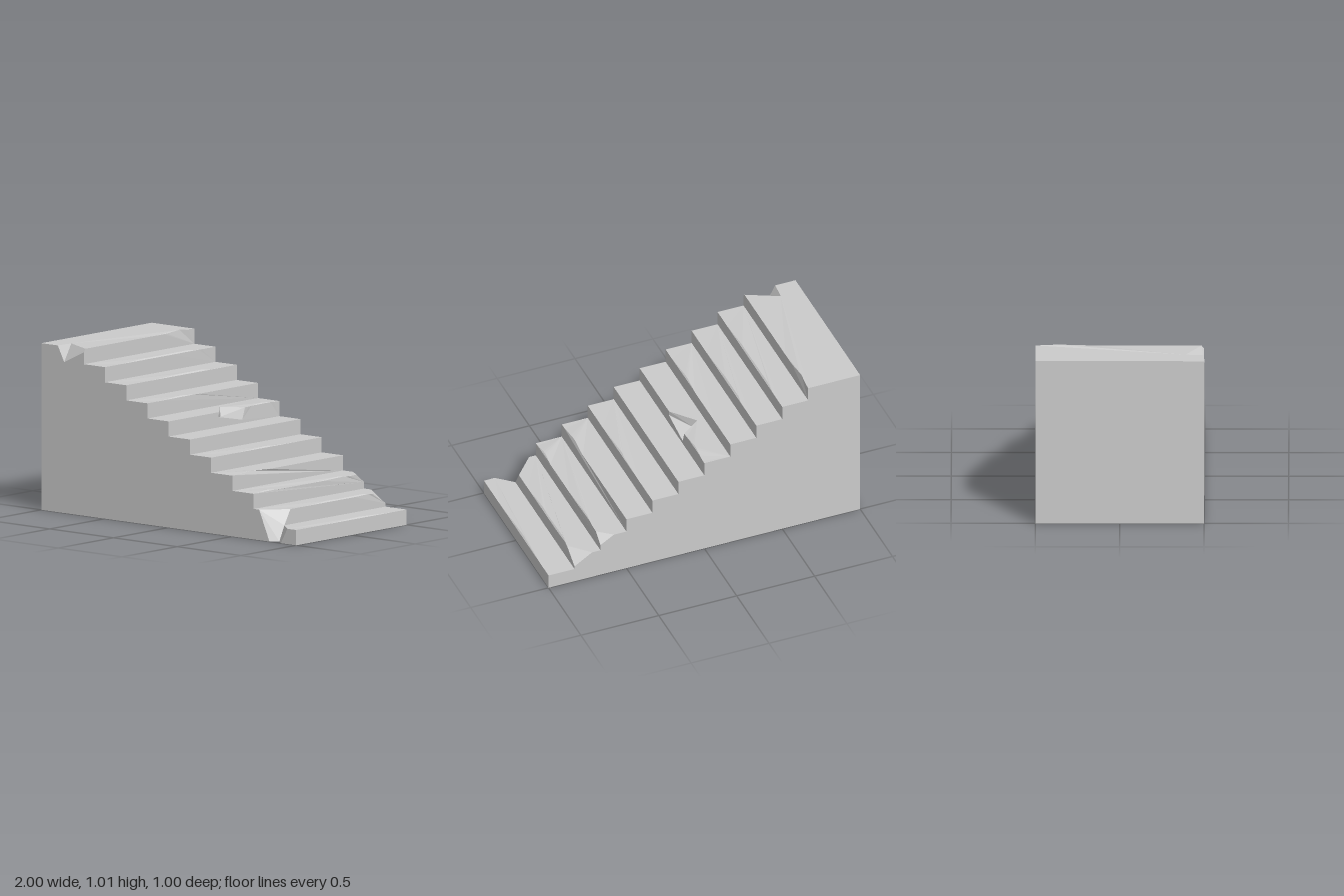
import * as THREE from 'three';

const STEPS = 11, BASE = 0.004, HALF = 0.5;
const edgeX = k => (k > STEPS ? -1 : 1 - (k - 1) / 6);   // nosing position of step k
const level = k => (k === 0 ? BASE : 0.005 + k / 11);    // tread height of step k

// Worn patches along each nosing: [centre z, half width]
const WEAR = {
  1: [[-0.08, 0.17]], 2: [[0, 0.15], [-0.3, 0.08]], 3: [[0.38, 0.11], [-0.25, 0.13]],
  4: [[0.33, 0.16]], 5: [[0, 0.1]], 7: [[-0.34, 0.13]], 8: [[0.2, 0.17]],
  9: [[0, 0.13], [-0.2, 0.07]], 10: [[0.13, 0.13], [-0.24, 0.13]], 11: [[-0.36, 0.13]],
};

// Chipped edges: nosing range, extra tread corners [x, z], extra riser corners [y, z]
const CHIPS = {
  2: { from: 0.36, to: -0.385, treadIn: [[0.71, 0.5]], treadOut: [[0.72, -0.5]], riserOut: [[0.115, -0.5]], foot: 0.415 },
  3: { to: -0.43, treadOut: [[0.58, -0.5]], riserOut: [[0.225, -0.5]] },
  7: { gap: [0.045, -0.19], treadGap: [[-0.12, -0.1]], riserGap: [[0.612, 0.05], [0.57, -0.165]] },
  11: { from: 0.485, treadIn: [[-0.87, 0.5], [-0.86, 0.39]], riserIn: [[0.985, 0.5]] },
};

// Fills a loop of 3D corners, seen along one axis; sign gives the outward side
function face(out, points, axis, sign) {
  const [a, b] = [[2, 1], [0, 2], [0, 1]][axis];
  const flat = points.map(p => new THREE.Vector2(p[a], p[b]));
  for (const tri of THREE.ShapeUtils.triangulateShape(flat, [])) {
    const [p, q, r] = tri.map(i => new THREE.Vector3(...points[i]));
    const n = q.clone().sub(p).cross(r.clone().sub(p));
    const loop = n.getComponent(axis) * sign > 0 ? [p, q, r] : [p, r, q];
    loop.forEach(v => out.push(v.x, v.y, v.z));
  }
}

function nosing(k, from, to) {
  const zs = [from];
  for (let i = 1; i < 40; i++) {
    const z = HALF - i / 40;
    if (z < from - 0.005 && z > to + 0.005) zs.push(z);
  }
  zs.push(to);
  return zs.map(z => {
    let w = 0;
    for (const [c, h] of WEAR[k] || []) {
      const t = Math.abs(z - c) / h;
      if (t < 1) w += Math.cos(t * Math.PI / 2) ** 2;
    }
    return [edgeX(k) - 0.009 * w, level(k) + 0.008 * w, z];
  });
}

export function createModel() {
  const group = new THREE.Group();
  const material = new THREE.MeshStandardMaterial({ color: 0xcccccc, flatShading: true });
  const add = (name, faces) => {
    const out = [];
    faces.forEach(f => face(out, ...f));
    const geometry = new THREE.BufferGeometry();
    geometry.setAttribute('position', new THREE.Float32BufferAttribute(out, 3));
    geometry.computeVertexNormals();
    const mesh = new THREE.Mesh(geometry, material);
    mesh.name = name;
    group.add(mesh);
  };

  // Steps: a tread and a riser sharing one worn nosing
  for (let k = 1; k <= STEPS; k++) {
    const c = { from: HALF, to: -HALF, treadIn: [], treadOut: [], riserIn: [], riserOut: [], foot: HALF, ...CHIPS[k] };
    const x = edgeX(k), y = level(k), back = edgeX(k + 1);
    const onTread = list => list.map(([px, z]) => [px, y, z]);
    const onRiser = list => list.map(([py, z]) => [x, py, z]);
    const runs = c.gap
      ? [nosing(k, c.from, c.gap[0]), nosing(k, c.gap[1], c.to)]
      : [nosing(k, c.from, c.to), []];
    const backEdge = k === 1
      ? [[back, y, -HALF], [back, y, 0.415], [0.93, y, HALF]]
      : [[back, y, -HALF], [back, y, HALF]];
    const tread = [...onTread(c.treadIn), ...runs[0], ...onTread(c.treadGap || []), ...runs[1],
      ...onTread(c.treadOut), ...backEdge];
    const riser = [...onRiser(c.riserIn), ...runs[0], ...onRiser(c.riserGap || []), ...runs[1],
      ...onRiser(c.riserOut), [x, level(k - 1), -HALF], [x, level(k - 1), c.foot]];
    add('step' + k, [[tread, 1, 1], [riser, 0, 1]]);
  }

  // Side walls follow the stepped outline, with chipped corners swapped in
  const side = (z, first, swaps) => {
    const pts = [[-1, BASE], ...first];
    for (let k = first.length > 1 ? 3 : 1; k <= STEPS; k++) {
      pts.push(...(swaps[k] || [[edgeX(k), level(k)]]), [edgeX(k + 1), level(k)]);
    }
    return pts.map(([x, y]) => [x, y, z]);
  };
  const y1 = level(1), y2 = level(2), top = level(STEPS), x2 = edgeX(2), x3 = edgeX(3), x11 = edgeX(STEPS);
  add('frontWall', [
    [side(HALF, [[0.79, BASE], [0.71, y2], [x3, y2]],
      { 11: [[x11, 0.985], [-0.82, 0.91], [-0.87, top]] }), 2, 1],
    [[[1, BASE, HALF], [1, y1, HALF], [0.93, y1, HALF], [0.88, BASE, HALF]], 2, 1],
  ]);
  add('backWall', [[side(-HALF, [[1, BASE]], {
    2: [[x2, 0.115], [0.72, y2]],
    3: [[x3, 0.225], [0.58, level(3)]],
  }), 2, -1]]);
  add('endWall', [[[[-1, BASE, HALF], [-1, BASE, -HALF], [-1, top, -HALF], [-1, top, HALF]], 0, -1]]);
  add('underside', [[[[1, -HALF], [-1, -HALF], [-1, HALF], [0.79, HALF], [x2, 0.46], [0.88, HALF], [1, HALF]]
    .map(([x, z]) => [x, BASE, z]), 1, -1]]);

  // Broken faces inside the chips
  add('footChip', [
    [[[0.71, y2, 0.5], [x2, y2, 0.36], [x2, y1, 0.415], [x2, BASE, 0.46], [0.79, BASE, 0.5]], 0, 1],
    [[[x2, y1, 0.415], [0.93, y1, 0.5], [0.88, BASE, 0.5], [x2, BASE, 0.46]], 2, 1],
  ]);
  add('topChip', [
    [[[-0.87, top, 0.5], [-0.86, top, 0.39], [-0.82, 0.91, 0.5]], 0, 1],
    [[[-0.86, top, 0.39], [x11, top, 0.485], [x11, 0.985, 0.5], [-0.82, 0.91, 0.5]], 2, 1],
  ]);
  add('backChips', [
    [[[0.72, y2, -0.5], [x2, y2, -0.385], [x2, 0.115, -0.5]], 2, -1],
    [[[0.58, level(3), -0.5], [x3, level(3), -0.43], [x3, 0.225, -0.5]], 2, -1],
  ]);
  const y7 = level(7), tip = [-0.12, y7, -0.1], deep = [-0.1, 0.588, -0.085];
  const left = [0, 0.612, 0.05], right = [0, 0.57, -0.165];
  add('middleChip', [
    [[tip, [0, y7, -0.19], right, deep], 2, 1],
    [[tip, [0, y7, 0.045], left, deep], 2, -1],
    [[deep, right, left], 1, 1],
  ]);
  return group;
}
